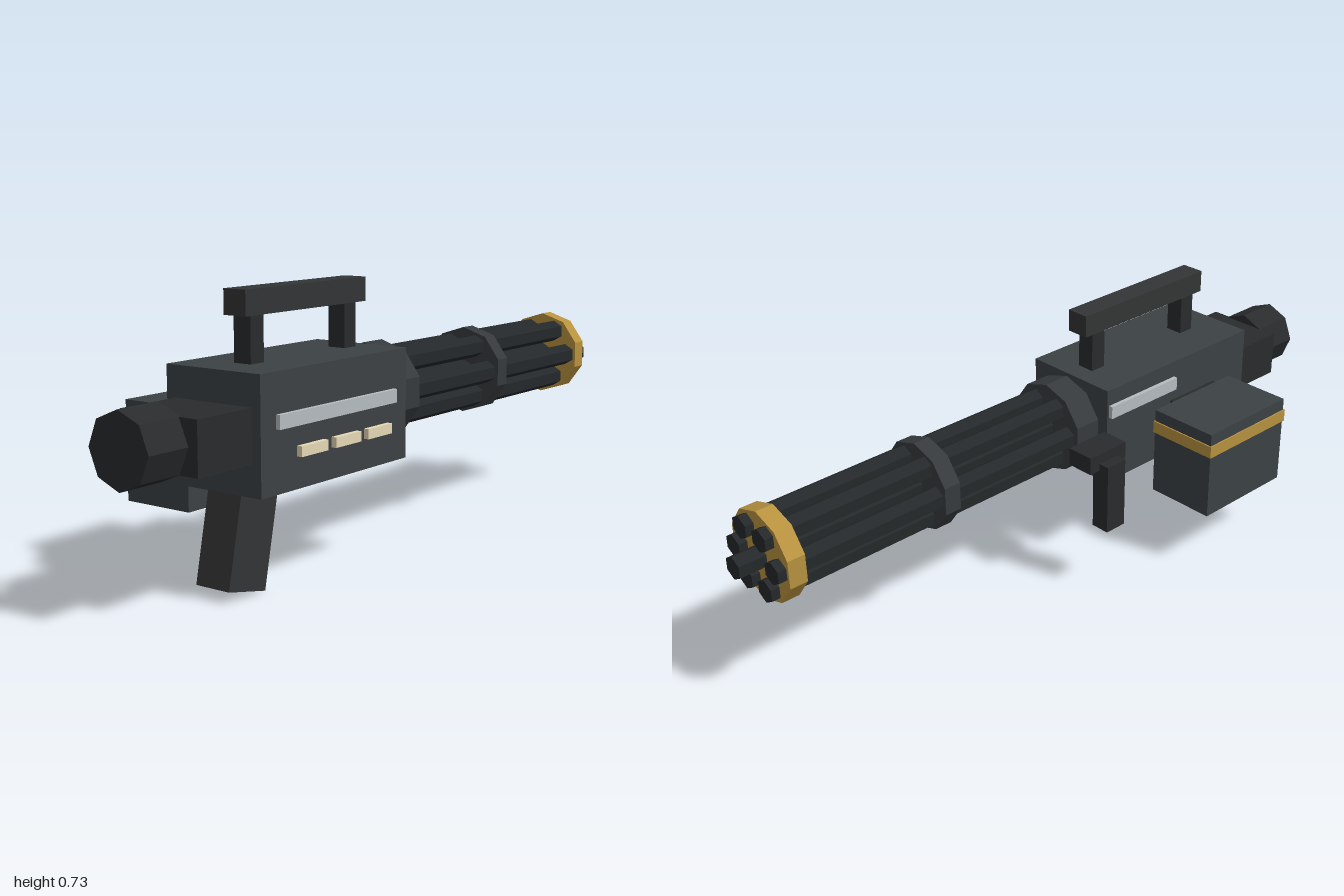
import * as THREE from 'three';

const mat = (color) => new THREE.MeshStandardMaterial({ color, flatShading: true });

export function createModel() {
  const model = new THREE.Group();
  model.name = 'rotaryGun';

  const body = mat(0x3c4144), dark = mat(0x292b2d), steel = mat(0x25282a);
  const band = mat(0x363a3d), grip = mat(0x333435), gold = mat(0xb8923f);
  const silver = mat(0xb5bcc0), cream = mat(0xe6d8b5);
  const CX = 0.105, CY = 0.424; // barrel axis

  const add = (name, geometry, material) => {
    const mesh = new THREE.Mesh(geometry, material);
    mesh.name = name;
    model.add(mesh);
    return mesh;
  };
  // box given by its limits on each axis
  const box = (name, material, x0, x1, y0, y1, z0, z1) => {
    const mesh = add(name, new THREE.BoxGeometry(x1 - x0, y1 - y0, z1 - z0), material);
    mesh.position.set((x0 + x1) / 2, (y0 + y1) / 2, (z0 + z1) / 2);
    return mesh;
  };
  // cylinder lying along z
  const rod = (name, material, x, y, z0, z1, radius, sides) => {
    const geometry = new THREE.CylinderGeometry(radius, radius, z1 - z0, sides).rotateX(Math.PI / 2);
    const mesh = add(name, geometry, material);
    mesh.position.set(x, y, (z0 + z1) / 2);
    return mesh;
  };

  // receiver and rear motor
  box('receiver', body, -0.04, 0.25, 0.264, 0.554, 0.113, 0.695);
  box('rearBlock', dark, -0.012, 0.225, 0.343, 0.475, 0.68, 0.878);
  rod('rearCap', dark, 0.106, 0.41, 0.872, 1, 0.092, 8);

  // carrying handle
  box('handleBar', grip, 0.072, 0.14, 0.67, 0.733, 0.139, 0.615);
  box('handleFrontPost', dark, 0.08, 0.132, 0.55, 0.675, 0.172, 0.22);
  box('handleRearPost', dark, 0.08, 0.132, 0.55, 0.675, 0.541, 0.589);

  // ring of six barrels around a longer centre shaft
  for (let i = 0; i < 6; i++) {
    const a = (i * Math.PI) / 3;
    rod('barrel', steel, CX + 0.083 * Math.cos(a), CY + 0.083 * Math.sin(a), -0.947, 0.13, 0.032, 6);
  }
  rod('centreShaft', steel, CX, CY, -1, 0.13, 0.032, 6);
  rod('barrelCollar', band, CX, CY, 0.018, 0.098, 0.131, 10);
  rod('middleBand', band, CX, CY, -0.447, -0.397, 0.125, 10);
  rod('muzzleRing', gold, CX, CY, -0.923, -0.873, 0.125, 10);

  // rear grip, trigger and guard
  const rearGrip = box('rearGrip', grip, 0.055, 0.159, 0, 0.28, -0.067, 0.067);
  rearGrip.position.set(0.107, 0.153, 0.614);
  rearGrip.rotation.x = -0.21;
  box('triggerGuardBottom', dark, 0.08, 0.132, 0.222, 0.236, 0.425, 0.56);
  box('triggerGuardFront', dark, 0.08, 0.132, 0.222, 0.27, 0.425, 0.439);
  box('trigger', gold, 0.096, 0.116, 0.242, 0.27, 0.511, 0.526);

  // side ammunition box
  box('ammoBox', body, -0.263, -0.053, 0.172, 0.435, 0.297, 0.615);
  box('ammoBoxBand', gold, -0.267, -0.05, 0.364, 0.4, 0.293, 0.619);
  box('ammoFeed', dark, -0.06, -0.035, 0.383, 0.433, 0.375, 0.56);

  // side foregrip
  box('foregripMount', dark, -0.124, -0.043, 0.384, 0.435, -0.035, 0.1);
  box('foregrip', dark, -0.156, -0.1, 0.2, 0.405, 0, 0.067);

  // side strips and lights
  box('leftStrip', silver, 0.245, 0.262, 0.419, 0.454, 0.17, 0.64);
  box('rightStrip', silver, -0.052, -0.035, 0.47, 0.507, 0.12, 0.385);
  for (let i = 0; i < 3; i++) {
    const z = 0.196 + i * 0.133;
    box('sideLight', cream, 0.245, 0.265, 0.343, 0.369, z, z + 0.102);
  }

  return model;
}
